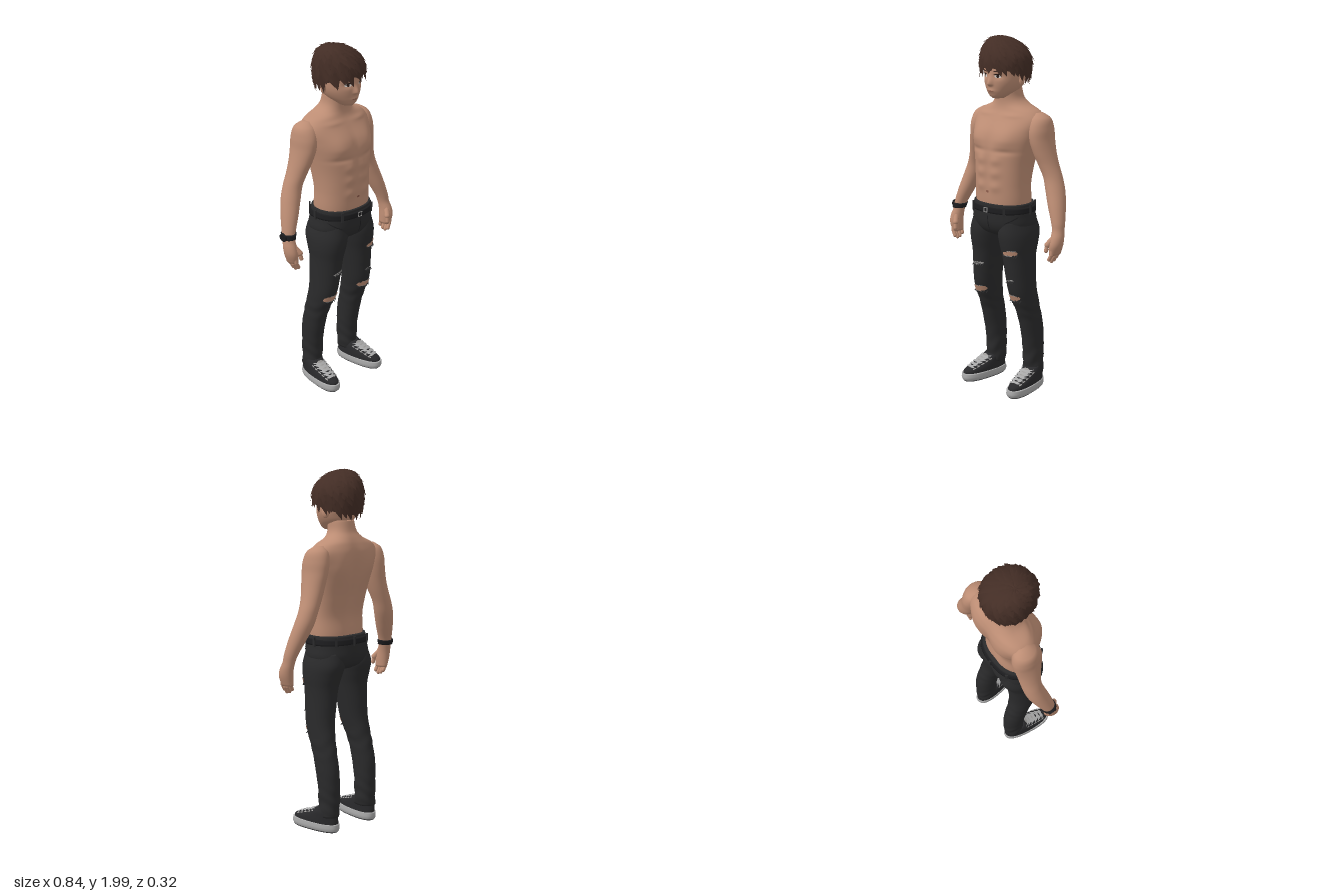
import * as THREE from 'three';
import { mergeGeometries } from 'three/addons/utils/BufferGeometryUtils.js';

const mat = (name, color, extra = {}) => Object.assign(new THREE.MeshStandardMaterial({ color, ...extra }), { name });
const two = { side: THREE.DoubleSide };
const M = {
  skin: mat('skin', 0xbd8d74, two), hair: mat('hair brown', 0x432d25, two), denim: mat('black denim', 0x2a2a2b, two),
  leather: mat('black leather', 0x1d1d1f, two), canvas: mat('shoe canvas', 0x29292b, two), sole: mat('sole grey', 0xa9a9a9, two),
  thread: mat('thread grey', 0x9c9a98, two), white: mat('eye white', 0xd8d4d0, two), dark: mat('eye dark', 0x2a1c18, two),
  lip: mat('lip', 0x8d5c4b, two),
};
let seed = 7;
const rnd = () => (seed = (seed * 16807) % 2147483647) / 2147483647;
const g = (v, c, w) => Math.exp(-(((v - c) / w) ** 2));
const { sin, cos, abs, sign, max, min, PI } = Math;

// Smoothly interpolated section at height y. Section: [y, cx, cz, rx, rFront, rBack]
function sectionAt(sec, y) {
  const n = sec.length - 1;
  let i = 0;
  while (i < n - 1 && y > sec[i + 1][0]) i++;
  const a = sec[i], b = sec[i + 1], h = b[0] - a[0], t = min(1, max(0, (y - a[0]) / h));
  const slope = (j, k) => { const p = sec[max(0, j - 1)], q = sec[min(n, j + 1)]; return (q[k] - p[k]) / (q[0] - p[0]); };
  return a.map((v, k) => v * (1 + 2 * t) * (1 - t) ** 2 + b[k] * t * t * (3 - 2 * t)
    + h * (slope(i, k) * t * (1 - t) ** 2 - slope(i + 1, k) * t * t * (1 - t)));
}

// Body surface: angle 0 faces the front, a quarter turn faces +x
const surface = (sec, p = 2, bump = () => 0) => {
  const S = (y, a, off = 0) => {
    const [, cx, cz, rx, rf, rb] = sectionAt(sec, y), s = sin(a), c = cos(a);
    const d = off + bump(y, a, rx * abs(s));
    return new THREE.Vector3(cx + sign(s) * rx * abs(s) ** (2 / p) + d * s, y + off * 0.6,
      cz + sign(c) * (c > 0 ? rf : rb) * abs(c) ** (2 / p) + d * c);
  };
  S.sec = sec;
  return S;
};

function grid(rows, wrap) {
  const pos = [], idx = [], n = rows[0].length;
  rows.forEach((r) => r.forEach((v) => pos.push(v.x, v.y, v.z)));
  for (let i = 0; i < rows.length - 1; i++) for (let j = 0; j < (wrap ? n : n - 1); j++) {
    const k = (j + 1) % n, a = i * n + j, b = i * n + k;
    idx.push(a, b, b + n, a, b + n, a + n);
  }
  const geo = new THREE.BufferGeometry();
  geo.setAttribute('position', new THREE.Float32BufferAttribute(pos, 3));
  geo.setIndex(idx);
  geo.computeVertexNormals();
  return geo;
}

function add(parent, name, geo, material) {
  const m = new THREE.Mesh(geo, material);
  m.name = name;
  parent.add(m);
  return m;
}

// Closed tube over a surface between two heights
function loft(S, rows = 40, cols = 40, y0 = S.sec[0][0], y1 = S.sec.at(-1)[0], off = 0) {
  const out = [];
  for (let i = 0; i <= rows; i++) {
    const y = y0 + (y1 - y0) * i / rows;
    out.push(Array.from({ length: cols }, (_, j) => S(y, j / cols * 2 * PI, off)));
  }
  const mid = (r) => { const c = r.reduce((s, v) => s.add(v), new THREE.Vector3()).divideScalar(cols); return r.map(() => c); };
  return grid([mid(out[0]), ...out, mid(out.at(-1))], true);
}

// Thin oval patch lying on a surface; jag makes a torn edge, tilt slants it
function patch(S, yc, h, ac, aw, off = 0.004, jag = 0, tilt = 0) {
  const cols = [];
  for (let j = 0; j <= 16; j++) {
    const t = j / 8 - 1, e = h * Math.sqrt(max(0, 1 - t * t)), lo = -e * (1 - jag * rnd()), hi = e * (1 - jag * rnd());
    cols.push([0, 1, 2, 3, 4].map((k) => S(yc + tilt * t + lo + (hi - lo) * k / 4, ac + aw * t, off)));
  }
  return grid([0, 1, 2, 3, 4].map((k) => cols.map((c) => c[k])), false);
}

function rod(a, b, r) {
  const p = new THREE.Vector3(...a), q = new THREE.Vector3(...b), d = q.clone().sub(p);
  const geo = new THREE.CapsuleGeometry(r, d.length(), 6, 12);
  geo.applyQuaternion(new THREE.Quaternion().setFromUnitVectors(new THREE.Vector3(0, 1, 0), d.normalize()));
  return geo.translate(...p.add(q).multiplyScalar(0.5).toArray());
}
const mirror = (sec, s) => sec.map(([y, cx, ...r]) => [y, cx * s, ...r]);

// Scalp surface: s runs down from the crown, f turns from the front
function scalp(s, f, k = 1) {
  const d = max(0, s - PI / 2), r = d ? 1 - 0.2 * d * d : sin(s), h = d ? -d : cos(s);
  return new THREE.Vector3(0.132 * r * sin(f) * k - 0.045 * max(0, h) ** 2, 1.85 + 0.134 * h * (d ? 1 : k),
    (cos(f) > 0 ? 0.14 : 0.143) * r * cos(f) * k);
}
const hairline = (f) => 2.22 - 0.3 * cos(f);

function buildHair(root) {
  const cap = [];
  for (let i = 0; i <= 16; i++) cap.push(Array.from({ length: 48 }, (_, j) => {
    const f = -j / 48 * 2 * PI;
    return scalp(i / 16 * (hairline(f) - 0.2), f);
  }));
  const parts = [grid(cap, true)];
  for (let ring = 0; ring < 9; ring++) {
    const n = Math.round(8 + 16 * sin(min(PI / 2, 0.1 + ring * 0.25)));
    for (let j = 0; j < n; j++) {
      const f0 = (j + 0.5 * (ring % 2) + 0.5 * rnd()) / n * 2 * PI;
      const s0 = 0.05 + ring / 8 * (hairline(f0) - 0.6), len = 0.5 + 0.2 * rnd(), swirl = 0.15 + 0.3 * (rnd() - 0.4), lift = 0.05 + 0.07 * rnd();
      const rows = [];
      for (let i = 0; i <= 5; i++) {
        const t = i / 5, s = s0 + len * t, f = f0 + swirl * t;
        const w = 0.19 * (1 - t ** 1.8) / max(0.35, sin(min(s, PI / 2))), k = 1.01 + lift * t * t;
        rows.push([scalp(s, f - w, k), scalp(s, f, k + 0.05 * (1 - t)), scalp(s, f + w, k)]);
      }
      parts.push(grid(rows, false));
    }
  }
  add(root, 'hair', mergeGeometries(parts), M.hair);
}

function buildHead(root) {
  const S = surface([[1.665, 0, 0.05, 0.028, 0.045, 0.04], [1.68, 0, 0.045, 0.05, 0.064, 0.06], [1.71, 0, 0.02, 0.08, 0.098, 0.1],
    [1.75, 0, 0.01, 0.1, 0.113, 0.11], [1.8, 0, 0, 0.108, 0.123, 0.12], [1.85, 0, 0, 0.112, 0.123, 0.13],
    [1.9, 0, 0, 0.105, 0.11, 0.12], [1.95, 0, 0, 0.06, 0.06, 0.07]], 2.1, (y, a, x) => cos(a) <= 0 ? 0
    : 0.02 * g(y, 1.743, y < 1.743 ? 0.008 : 0.032) * g(x, 0, 0.013) - 0.007 * g(y, 1.785, 0.014) * g(x, 0.045, 0.022)
      + 0.005 * g(y, 1.706, 0.01) * g(x, 0, 0.025));
  add(root, 'head', loft(S, 75, 120), M.skin);
  add(root, 'mouth', patch(S, 1.705, 0.0025, 0, 0.24, 0.002), M.lip);
  for (const s of [1, -1]) {
    add(root, 'eye', patch(S, 1.785, 0.0085, s * 0.43, 0.19, 0.002), M.white);
    add(root, 'iris', patch(S, 1.785, 0.0085, s * 0.42, 0.08, 0.004), M.dark);
    add(root, 'upperLid', patch(S, 1.794, 0.003, s * 0.43, 0.22, 0.005), M.dark);
    add(root, 'eyebrow', patch(S, 1.812, 0.004, s * 0.43, 0.26, 0.004, 0, s * 0.004), M.hair);
    const ear = add(root, 'ear', new THREE.SphereGeometry(1, 16, 12), M.skin);
    ear.scale.set(0.014, 0.034, 0.022);
    ear.position.set(s * 0.106, 1.765, -0.012);
    ear.rotation.y = s * 0.3;
  }
}

function buildTorso(root) {
  const S = surface([[1.02, 0, 0.01, 0.155, 0.125, 0.11], [1.1, 0, 0.01, 0.164, 0.135, 0.112], [1.2, 0, 0.01, 0.165, 0.137, 0.105],
    [1.3, 0, 0, 0.174, 0.146, 0.115], [1.4, 0, -0.01, 0.192, 0.15, 0.13], [1.48, 0, -0.03, 0.212, 0.15, 0.12],
    [1.55, 0, -0.045, 0.222, 0.125, 0.105], [1.595, 0, -0.05, 0.185, 0.103, 0.088], [1.625, 0, -0.05, 0.115, 0.094, 0.074],
    [1.66, 0, -0.035, 0.08, 0.078, 0.07], [1.72, 0, -0.02, 0.07, 0.07, 0.07]], 2.3, (y, a, x) => {
    const c = cos(a);
    if (c < 0) return -c * (0.012 * g(y, 1.47, 0.08) * g(x, 0.1, 0.055) - 0.017 * g(x, 0, 0.03) * g(y, 1.35, 0.2));
    const abs3 = [1.335, 1.265, 1.19].reduce((v, h) => v + g(y, h, 0.026), 0);
    return c * (0.015 * g(y, 1.45, y < 1.45 ? 0.042 : 0.07) * g(x, 0.09, 0.065) + 0.007 * abs3 * g(x, 0.042, 0.032)
      - 0.007 * g(y, 1.385, 0.014) * g(x, 0.09, 0.07) - 0.006 * g(x, 0, 0.014) * g(y, 1.34, 0.16)
      + 0.006 * g(y, 1.575, 0.012) * g(x, 0.09, 0.06));
  });
  add(root, 'torso', loft(S, 110, 96), M.skin);
  add(root, 'navel', patch(S, 1.16, 0.006, 0, 0.04, 0.002), M.lip);
}

function buildArm(root, s) {
  const S = surface(mirror([[0.85, 0.37, 0.012, 0.026, 0.038, 0.038], [0.9, 0.379, 0.012, 0.034, 0.044, 0.043], [0.94, 0.381, 0.004, 0.034, 0.042, 0.04],
    [0.98, 0.376, -0.008, 0.032, 0.036, 0.036], [1.02, 0.368, -0.016, 0.036, 0.04, 0.04], [1.1, 0.34, -0.037, 0.047, 0.05, 0.05],
    [1.18, 0.311, -0.058, 0.053, 0.056, 0.054], [1.25, 0.286, -0.066, 0.052, 0.056, 0.054], [1.316, 0.259, -0.062, 0.053, 0.064, 0.06],
    [1.38, 0.238, -0.055, 0.055, 0.076, 0.07], [1.45, 0.221, -0.05, 0.057, 0.086, 0.082], [1.51, 0.212, -0.05, 0.06, 0.084, 0.082],
    [1.565, 0.203, -0.052, 0.052, 0.06, 0.062], [1.59, 0.195, -0.055, 0.02, 0.025, 0.025]], s));
  add(root, 'arm', loft(S, 70, 36), M.skin);
  // Four loosely curled fingers and a thumb
  for (let i = 0; i < 4; i++) {
    const z = 0.043 - i * 0.02, drop = [0.012, 0, 0.004, 0.018][i];
    add(root, 'finger', rod([s * 0.377, 0.875, z], [s * 0.375, 0.84 + drop, z + 0.002], 0.0115), M.skin);
    add(root, 'fingertip', rod([s * 0.375, 0.84 + drop, z + 0.002], [s * 0.36, 0.812 + drop, z + 0.004], 0.0105), M.skin);
  }
  add(root, 'thumbBase', rod([s * 0.37, 0.94, 0.025], [s * 0.35, 0.905, 0.05], 0.016), M.skin);
  add(root, 'thumb', rod([s * 0.35, 0.905, 0.05], [s * 0.346, 0.873, 0.056], 0.0115), M.skin);
  if (s < 0) {
    add(root, 'watchStrap', loft(S, 4, 36, 0.98, 1.008, 0.006), M.leather);
    const face = add(root, 'watchFace', new THREE.CylinderGeometry(0.023, 0.025, 0.012, 24), M.leather);
    face.position.set(-0.412, 0.997, -0.012);
    face.rotation.z = PI / 2 + 0.2;
  }
}

function buildPelvis(root) {
  const S = surface([[0.9, 0, 0, 0.08, 0.07, 0.07], [0.925, 0, 0, 0.15, 0.12, 0.115], [0.97, 0, 0, 0.184, 0.148, 0.134],
    [1.03, 0, 0.005, 0.18, 0.15, 0.132], [1.095, 0, 0.008, 0.171, 0.144, 0.125]], 2.4,
  (y, a, x) => cos(a) < 0 ? -0.012 * g(x, 0, 0.02) * g(y, 0.95, 0.06) : 0);
  add(root, 'jeansHips', loft(S, 24, 64), M.denim);
  add(root, 'belt', loft(S, 4, 64, 1.042, 1.074, 0.005), M.leather);
  for (const a of [0.6, -0.6, 1.6, -1.6, 2.5, -2.5, PI]) {
    const m = add(root, 'beltLoop', new THREE.BoxGeometry(0.014, 0.052, 0.008), M.denim);
    m.position.copy(S(1.058, a, 0.009));
    m.rotation.y = a;
  }
  const b = add(root, 'buckle', new THREE.TorusGeometry(0.017, 0.003, 6, 4), M.thread);
  b.position.copy(S(1.055, 0, 0.009));
  b.rotation.z = PI / 4;
  add(root, 'fly', patch(S, 0.99, 0.045, 0.03, 0.012, 0.003), M.leather);
  for (const s of [1, -1]) add(root, 'pocketSeam', patch(S, 1.01, 0.003, s * 0.85, 0.3, 0.003, 0, s * 0.02), M.leather);
}

function buildLeg(root, s) {
  const S = surface(mirror([[0.085, 0.148, -0.075, 0.053, 0.064, 0.06], [0.15, 0.144, -0.076, 0.053, 0.062, 0.062], [0.25, 0.144, -0.073, 0.055, 0.064, 0.066],
    [0.35, 0.145, -0.06, 0.056, 0.07, 0.075], [0.45, 0.143, -0.038, 0.057, 0.076, 0.077], [0.53, 0.138, -0.012, 0.062, 0.084, 0.085],
    [0.6, 0.132, 0.005, 0.066, 0.092, 0.09], [0.7, 0.123, 0.01, 0.072, 0.1, 0.095], [0.8, 0.115, 0.012, 0.08, 0.108, 0.102],
    [0.87, 0.11, 0.01, 0.09, 0.125, 0.12], [0.93, 0.104, 0.003, 0.093, 0.138, 0.13], [1.0, 0.098, 0.005, 0.078, 0.125, 0.118]], s), 2.15,
  (y, a) => 0.0025 * sin(y * 75 + 2 * sin(a * 2 + y * 9)) * (g(y, 0.15, 0.1) + 0.7 * g(y, 0.47, 0.06)));
  add(root, 'jeansLeg', loft(S, 100, 40), M.denim);
  // Torn openings: [height, half height, angle, half width, shows skin]
  const rips = s > 0 ? [[0.56, 0.024, -0.1, 0.75, 1], [0.825, 0.02, 0.3, 0.5, 1], [0.665, 0.009, 0.05, 0.32, 0]]
    : [[0.56, 0.025, 0, 0.85, 1], [0.72, 0.012, 0.1, 0.5, 0]];
  for (const [y, h, a, w, skin] of rips) {
    add(root, 'ripOpening', patch(S, y, h, a, w, 0.004, 0.5, 0.005), skin ? M.skin : M.thread);
    for (const k of skin ? [-0.75, 0.7] : [0]) add(root, 'ripThread', patch(S, y + k * h, 0.0025, a + k * 0.2, w * 0.6, 0.007, 0.4), skin ? M.thread : M.denim);
    for (let i = -3; i <= 3; i++) {
      const fray = add(root, 'frayedEdge', new THREE.ConeGeometry(0.007, 0.024, 4), M.denim);
      fray.position.copy(S(y - h * 0.9, a + w * 0.27 * i, 0.005));
      fray.rotation.set(1.9 + rnd() * 0.6, 0, 0);
    }
  }
}

function buildShoe(root, s) {
  const shoe = new THREE.Group();
  shoe.name = 'shoe';
  shoe.position.set(s * 0.152, 0, -0.07);
  shoe.rotation.y = s * 0.13;
  root.add(shoe);
  const sole = surface([[0.004, 0, 0.09, 0.056, 0.142, 0.16], [0.02, 0, 0.09, 0.06, 0.148, 0.164], [0.045, 0, 0.09, 0.058, 0.145, 0.162]], 2.5);
  add(shoe, 'soleRim', loft(sole, 8, 48), M.sole);
  add(shoe, 'outsole', loft(sole, 1, 48, 0.004, 0.007, -0.006).translate(0, -0.003, 0), M.canvas);
  const S = surface([[0.035, 0, 0.07, 0.055, 0.16, 0.138], [0.06, 0, 0.065, 0.054, 0.158, 0.132], [0.085, 0, 0.04, 0.052, 0.125, 0.102],
    [0.11, 0, 0.02, 0.05, 0.075, 0.08], [0.13, 0, 0.005, 0.045, 0.052, 0.06]], 2.3);
  add(shoe, 'upper', loft(S, 24, 48), M.canvas);
  add(shoe, 'tongue', patch(S, 0.112, 0.014, 0, 0.5, 0.003), M.thread);
  for (let i = 0; i < 5; i++) {
    for (const t of [1, -1]) add(shoe, 'lace', patch(S, 0.079 + i * 0.009, 0.0028, 0, 0.55 + i * 0.09, 0.005, 0, t * 0.005), M.sole);
    for (const t of [1, -1]) add(shoe, 'eyelet', patch(S, 0.07 + i * 0.009, 0.004, t * (0.62 + i * 0.1), 0.09, 0.004), M.thread);
  }
}

export function createModel() {
  const root = new THREE.Group();
  root.name = 'figure';
  buildTorso(root);
  buildHead(root);
  buildHair(root);
  buildPelvis(root);
  for (const s of [1, -1]) [buildArm, buildLeg, buildShoe].forEach((build) => build(root, s));
  return root;
}
